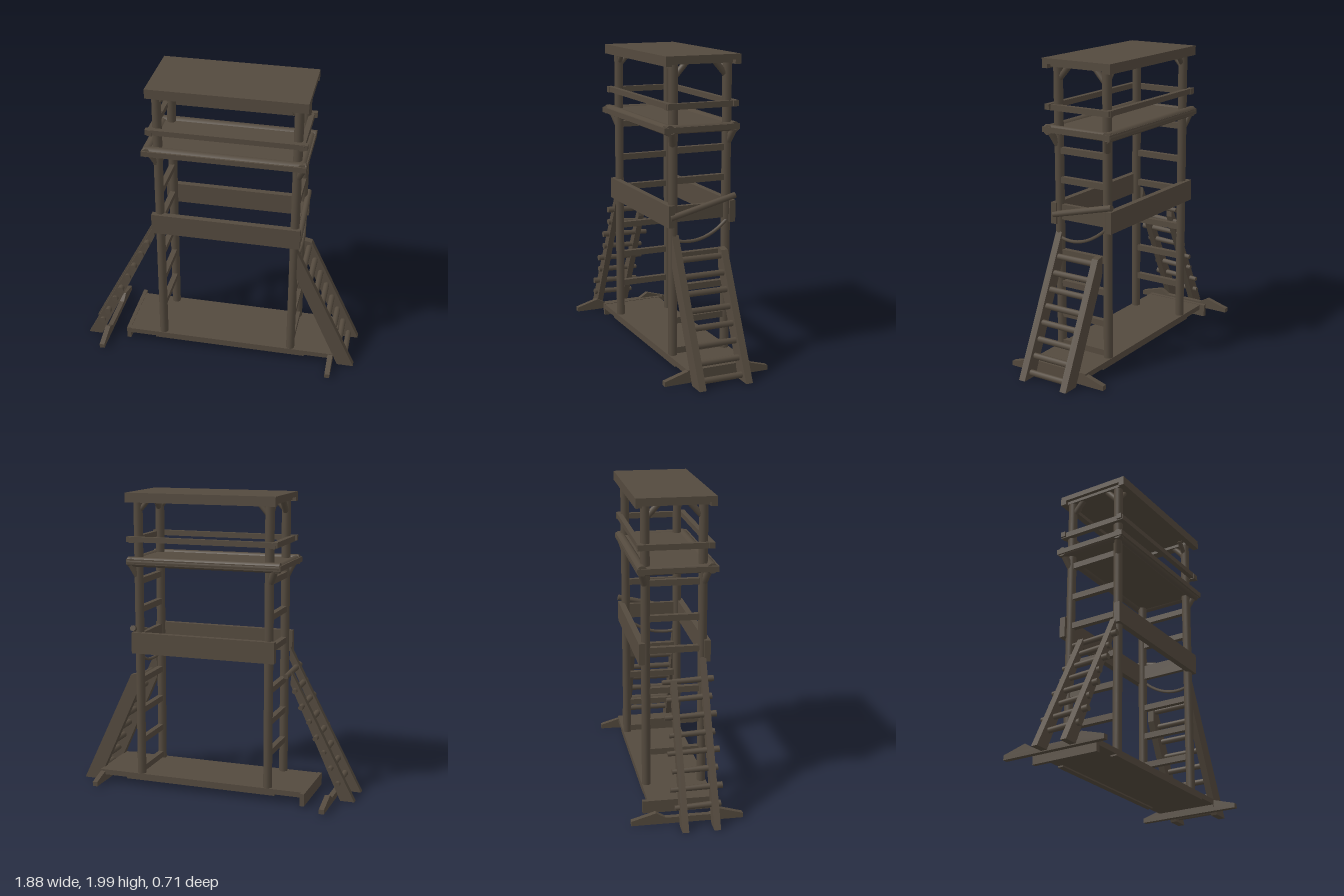
import * as THREE from 'three';

export function createModel() {
  const tower = new THREE.Group();
  tower.name = 'watchtower';
  const wood = new THREE.MeshStandardMaterial({ color: 0x544a3e });
  wood.name = 'dark wood';

  const add = (name, geometry, parent = tower) => {
    const mesh = new THREE.Mesh(geometry, wood);
    mesh.name = name;
    parent.add(mesh);
    return mesh;
  };
  // Box given by its lower and upper limits
  const box = (name, [x0, x1], [y0, y1], [z0, z1], parent) => {
    const mesh = add(name, new THREE.BoxGeometry(x1 - x0, y1 - y0, z1 - z0), parent);
    mesh.position.set((x0 + x1) / 2, (y0 + y1) / 2, (z0 + z1) / 2);
    return mesh;
  };
  // Round timber between two points
  const pole = (name, a, b, r0, r1 = r0, parent) => {
    const from = new THREE.Vector3(...a), to = new THREE.Vector3(...b);
    const dir = to.clone().sub(from);
    const mesh = add(name, new THREE.CylinderGeometry(r1, r0, dir.length(), 10), parent);
    mesh.position.copy(from).add(to).multiplyScalar(0.5);
    mesh.quaternion.setFromUnitVectors(new THREE.Vector3(0, 1, 0), dir.normalize());
    return mesh;
  };
  // Plate cut from an outline in the xy plane, centred on z = 0
  const plate = (points, depth) => {
    const shape = new THREE.Shape(points.map(([x, y]) => new THREE.Vector2(x, y)));
    return new THREE.ExtrudeGeometry(shape, { depth, bevelEnabled: false }).translate(0, 0, -depth / 2);
  };

  const postX = [-0.395, 0.5], postZ = [0.17, -0.195];

  // Four corner posts with braces under roof and deck
  for (const x of postX) for (const z of postZ) {
    const inX = x < 0 ? 1 : -1, inZ = z > 0 ? -1 : 1;
    pole('cornerPost', [x, 0.08, z], [x, 1.97, z], 0.029, 0.03);
    pole('roofBraceLong', [x, 1.87, z], [x + inX * 0.075, 1.955, z], 0.016);
    pole('roofBraceShort', [x, 1.86, z], [x, 1.955, z + inZ * 0.085], 0.02);
    pole('deckBrace', [x, 1.44, z], [x - inX * 0.045, 1.54, z - inZ * 0.03], 0.024);
  }

  // Roof slab with thicker timber along its edges
  box('roof', [-0.45, 0.565], [1.965, 2], [-0.26, 0.245]);
  for (const z of [0.225, -0.24]) box('roofEdge', [-0.45, 0.565], [1.938, 1.985], [z - 0.02, z + 0.02]);
  for (const x of postX) box('roofTie', [x - 0.03, x + 0.03], [1.945, 1.98], [-0.23, 0.21]);

  // Lookout deck and its edge timbers
  box('deck', [-0.485, 0.565], [1.535, 1.57], [-0.255, 0.255]);
  for (const z of [0.215, -0.225])
    pole('deckEdge', [-0.475, 1.555, z], [0.56, 1.55, z], 0.033);
  for (const x of [-0.455, 0.535])
    pole('deckEnd', [x, 1.55, -0.245], [x, 1.555, 0.245], 0.028);

  // Guard rail on all four sides
  for (const z of [0.215, -0.23]) box('longGuardRail', [-0.46, 0.565], [1.68, 1.715], [z - 0.017, z + 0.017]);
  for (const x of [-0.43, 0.53]) box('sideGuardRail', [x - 0.017, x + 0.017], [1.675, 1.712], [-0.25, 0.235]);

  // Wide boards at mid height
  for (const z of [0.195, -0.225]) box('middleBoard', [-0.445, 0.54], [0.94, 1.08], [z - 0.02, z + 0.02]);
  box('middleSideBoard', [0.485, 0.515], [0.97, 1.07], [-0.2, 0.18]);
  pole('middleSideRail', [0.53, 1.11, -0.245], [0.53, 1.0, 0.2], 0.02);

  // Cross rungs between the posts on each side
  const rungs = [[-0.395, [0.33, 0.54, 0.75, 1.02, 1.23, 1.46]], [0.5, [0.13, 0.33, 0.54, 0.75, 1.23, 1.42]]];
  for (const [x, heights] of rungs)
    for (const y of heights) box('sideRung', [x - 0.018, x + 0.018], [y - 0.02, y + 0.02], [-0.19, 0.165]);

  // Sagging rope on the ladder side
  const rope = new THREE.QuadraticBezierCurve3(
    new THREE.Vector3(0.52, 0.85, 0.15), new THREE.Vector3(0.54, 0.81, -0.03), new THREE.Vector3(0.52, 0.955, -0.19));
  add('rope', new THREE.TubeGeometry(rope, 14, 0.011, 6));

  // Ground floor with end cleats
  box('floor', [-0.65, 0.79], [0.065, 0.1], [-0.225, 0.2]);
  for (const z of [0.18, -0.205]) box('floorEdge', [-0.45, 0.6], [0.055, 0.09], [z - 0.02, z + 0.02]);
  box('leftFloorCleat', [-0.66, -0.632], [0.02, 0.103], [-0.26, 0.2]);
  box('rightFloorCleat', [0.762, 0.797], [0.02, 0.1], [-0.225, 0.2]);

  // Tapered ground beams under the ladders
  for (const x of [-0.8, 0.78]) {
    const beam = add('groundBeam', plate(
      [[-0.355, 0.02], [0.355, 0.02], [0.355, 0.05], [0.2, 0.095], [0.14, 0.06], [-0.14, 0.06], [-0.2, 0.095], [-0.355, 0.05]], 0.034));
    beam.rotation.y = Math.PI / 2;
    beam.position.x = x;
  }

  // Left ladder: two leaning rails and overhanging round rungs
  const leftLadder = new THREE.Group();
  leftLadder.name = 'leftLadder';
  tower.add(leftLadder);
  const leftRail = (top) => [[-0.945, 0.012], [-0.85, 0.012], [-0.8, 0.12],
    [-0.96 + 0.54 * top, top - 0.08], [-0.985 + 0.56 * top, top]];
  for (const [z, top] of [[0.165, 0.97], [-0.035, 0.85]])
    add('ladderRail', plate(leftRail(top), 0.042), leftLadder).position.z = z;
  for (let i = 0; i < 8; i++) {
    const y = 0.13 + i * 0.1, x = -0.9 + 0.5 * y;
    const over = i % 2 ? 0.03 : 0.01;
    pole('ladderRung', [x, y, -0.075 - over], [x, y + 0.012, 0.195 + over], 0.016, 0.021, leftLadder);
  }

  // Right ladder: broad rails with flat feet
  const rightLadder = new THREE.Group();
  rightLadder.name = 'rightLadder';
  tower.add(rightLadder);
  const rails = [
    [0.165, [[0.83, 0.012], [0.94, 0.012], [0.525, 0.89], [0.525, 0.69]]],
    [-0.152, [[0.83, 0.012], [0.94, 0.012], [0.58, 0.775], [0.53, 0.785], [0.535, 0.66]]],
  ];
  for (const [z, outline] of rails)
    add('ladderRail', plate(outline, 0.046), rightLadder).position.z = z;
  for (let i = 0; i < 8; i++) {
    const y = 0.05 + i * 0.098, x = 0.895 - 0.45 * y;
    pole('ladderRung', [x, y, -0.165], [x, y, 0.18], 0.02, 0.02, rightLadder);
  }

  return tower;
}
